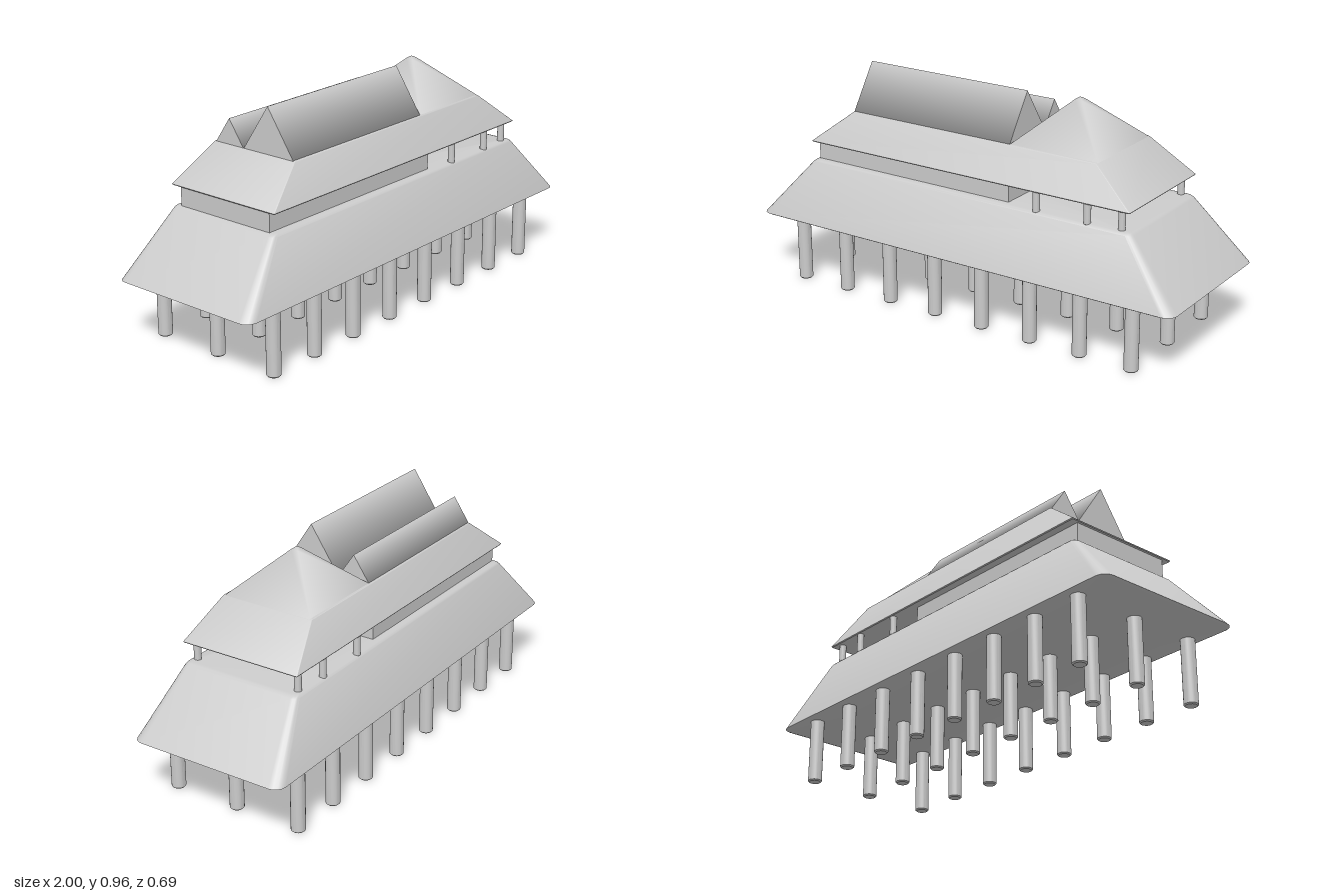
import * as THREE from 'three';
import { toCreasedNormals } from 'three/addons/utils/BufferGeometryUtils.js';

const material = new THREE.MeshStandardMaterial({ color: 0xcccccc });

function add(parent, name, geometry, x = 0, y = 0, z = 0) {
  const mesh = new THREE.Mesh(geometry, material);
  mesh.name = name;
  mesh.position.set(x, y, z);
  parent.add(mesh);
  return mesh;
}

// Rounded rectangle in the xz plane, running from +x towards +z
function ring([y, hx, hz, r]) {
  const points = [];
  const steps = 4;
  [[1, 1], [-1, 1], [-1, -1], [1, -1]].forEach(([sx, sz], corner) => {
    for (let i = 0; i <= steps; i++) {
      const a = (corner + i / steps) * Math.PI / 2;
      points.push([sx * (hx - r) + r * Math.cos(a), y, sz * (hz - r) + r * Math.sin(a)]);
    }
  });
  return points;
}

// Closed solid through levels of [y, half width, half depth, corner radius]
function loft(levels) {
  const rings = levels.map(ring);
  const n = rings[0].length;
  const pos = [];
  const tri = (...corners) => corners.forEach((p) => pos.push(...p));
  for (let j = 0; j < n; j++) {
    const k = (j + 1) % n;
    for (let i = 0; i + 1 < rings.length; i++) {
      const lo = rings[i], hi = rings[i + 1];
      tri(lo[j], hi[j], lo[k]);
      tri(lo[k], hi[j], hi[k]);
    }
    const top = rings[rings.length - 1];
    tri([0, levels[0][0], 0], rings[0][j], rings[0][k]);
    tri([0, top[0][1], 0], top[k], top[j]);
  }
  const geometry = new THREE.BufferGeometry();
  geometry.setAttribute('position', new THREE.Float32BufferAttribute(pos, 3));
  return toCreasedNormals(geometry, 0.6);
}

// Round post with softened ends, standing on y = 0
function postGeometry(r, h, bevel) {
  const profile = [[0, 0], [r - bevel, 0], [r, bevel], [r, h - bevel], [r - bevel, h], [0, h]];
  const lathe = new THREE.LatheGeometry(profile.map(([x, y]) => new THREE.Vector2(x, y)), 20);
  return toCreasedNormals(lathe, 0.6);
}

// Triangular prism lying along x, with its base on y = 0
function gableGeometry(length, height, depth) {
  const geometry = new THREE.CylinderGeometry(1, 1, length, 3);
  geometry.applyMatrix4(new THREE.Matrix4().makeBasis(
    new THREE.Vector3(0, 0, 1), new THREE.Vector3(1, 0, 0), new THREE.Vector3(0, 1, 0)));
  geometry.translate(0, 0.5, 0);
  geometry.scale(1, height / 1.5, depth / Math.sqrt(3));
  return geometry;
}

export function createModel() {
  const model = new THREE.Group();
  model.name = 'stiltHouse';

  // Three rows of stilts
  const stilts = new THREE.Group();
  stilts.name = 'stilts';
  model.add(stilts);
  const stilt = postGeometry(0.029, 0.28, 0.005);
  for (const z of [-0.29, 0, 0.29]) {
    for (let i = 0; i < 8; i++) add(stilts, 'stilt', stilt, -0.81 + i * 0.231, 0, z);
  }

  // Broad sloping lower storey
  add(model, 'lowerRoof', loft([
    [0.273, 0.985, 0.335, 0.04], [0.279, 1, 0.345, 0.045], [0.285, 0.995, 0.343, 0.045],
    [0.53, 0.775, 0.265, 0.025], [0.537, 0.766, 0.259, 0.022], [0.54, 0.752, 0.25, 0.02],
  ]));

  // Closed room and open veranda between the roofs
  add(model, 'room', new THREE.BoxGeometry(0.96, 0.085, 0.46), -0.275, 0.58, 0);
  const veranda = new THREE.Group();
  veranda.name = 'verandaPosts';
  model.add(veranda);
  const post = postGeometry(0.0145, 0.09, 0.002);
  for (const z of [-0.247, 0.247]) {
    for (const x of [0.345, 0.575]) add(veranda, 'verandaPost', post, x, 0.535, z);
    add(veranda, 'cornerPost', post, 0.72, 0.535, Math.sign(z) * 0.236);
  }

  // Sloping upper roof
  add(model, 'upperRoof', loft([
    [0.62, 0.765, 0.263, 0.004], [0.624, 0.768, 0.266, 0.004],
    [0.765, 0.588, 0.207, 0.004], [0.768, 0.583, 0.203, 0.004],
  ]));

  // Pair of long gables
  add(model, 'frontGable', gableGeometry(0.775, 0.192, 0.256), -0.1985, 0.764, 0.073);
  add(model, 'backGable', gableGeometry(0.775, 0.107, 0.146), -0.1985, 0.764, -0.128);

  // Square pyramid roof with a softened tip
  const profile = [[0.2, 0], [0.016, 0.17], [0.007, 0.177], [0, 0.178]]
    .map(([x, y]) => new THREE.Vector2(x * Math.SQRT2, y));
  const pyramid = new THREE.LatheGeometry(profile, 4);
  pyramid.rotateY(Math.PI / 4);
  add(model, 'pyramidRoof', pyramid, 0.387, 0.766, 0).material =
    new THREE.MeshStandardMaterial({ color: 0xcccccc, side: THREE.DoubleSide });

  return model;
}
